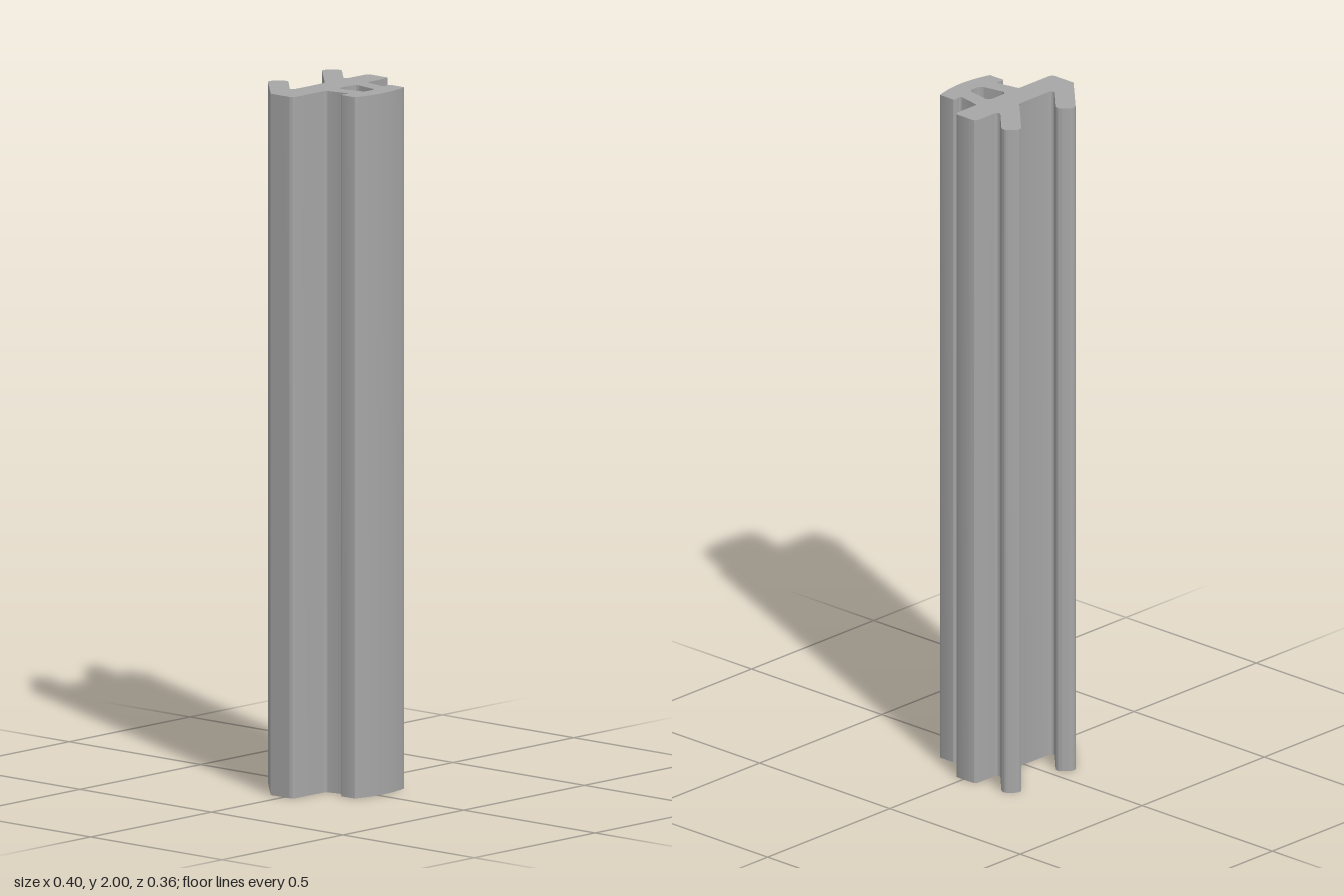
import * as THREE from 'three';
import { toCreasedNormals } from 'three/addons/utils/BufferGeometryUtils.js';

const HEIGHT = 2;
const AXIS = 0.022; // centre line of the neck and foot

// Draws a closed outline of [x, z, radius] corners, with true arcs at the corners.
function roundedOutline(path, corners) {
  const pts = corners.map(([x, z]) => new THREE.Vector2(x, -z));
  const n = pts.length;
  pts.forEach((p, i) => {
    const r = corners[i][2] || 0;
    if (r === 0) {
      if (i === 0) path.moveTo(p.x, p.y);
      else path.lineTo(p.x, p.y);
      return;
    }
    const u = pts[(i + n - 1) % n].clone().sub(p).normalize();
    const v = pts[(i + 1) % n].clone().sub(p).normalize();
    const half = Math.acos(u.dot(v)) / 2;
    const t = r / Math.tan(half);
    const start = p.clone().addScaledVector(u, t);
    const end = p.clone().addScaledVector(v, t);
    const c = u.clone().add(v).normalize().multiplyScalar(r / Math.sin(half)).add(p);
    if (i === 0) path.moveTo(start.x, start.y);
    else path.lineTo(start.x, start.y);
    path.absarc(c.x, c.y, r,
      Math.atan2(start.y - c.y, start.x - c.x),
      Math.atan2(end.y - c.y, end.x - c.x),
      u.cross(v) > 0);
  });
  path.closePath();
  return path;
}

export function createModel() {
  const grey = new THREE.MeshStandardMaterial({ color: 0xa6a6a6 });
  grey.name = 'grey rubber';

  // Right half of neck and foot; mirrored for the other half
  const neck = [
    [0.108, 0.034, 0.008],
    [0.093, 0.112, 0.006],
    [0.124, 0.102, 0.007],
    [0.124, 0.160, 0.003],
  ];
  const mirroredNeck = neck.map(([x, z, r]) => [2 * AXIS - x, z, r]).reverse();

  // Gently bowed face of the foot
  const bow = [];
  for (let i = 1; i < 12; i++) {
    const s = 1 - i / 6;
    bow.push([AXIS + 0.102 * s, 0.176 - 0.016 * s * s, 0]);
  }

  const profile = roundedOutline(new THREE.Shape(), [
    // left slanted fin
    [-0.2, -0.05, 0],
    [-0.063, -0.187, 0.019],
    [-0.022, -0.147, 0.019],
    [-0.123, -0.047, 0.009],
    // right slanted fin
    [0.021, -0.047, 0.02],
    [0.1605, -0.187, 0.019],
    [0.2, -0.1475, 0.019],
    [0.099, -0.047, 0.009],
    // end of the crossbar
    [0.199, -0.047, 0.013],
    [0.199, 0.034, 0.013],
    ...neck, ...bow, ...mirroredNeck,
    [-0.2, 0.034, 0.014],
  ]);

  // Tapered channel through the neck
  profile.holes.push(roundedOutline(new THREE.Path(), [
    [AXIS - 0.039, 0.034, 0.015],
    [AXIS - 0.0225, 0.122, 0.015],
    [AXIS + 0.0225, 0.122, 0.015],
    [AXIS + 0.039, 0.034, 0.015],
  ]));

  const extrusion = new THREE.ExtrudeGeometry(profile, {
    depth: HEIGHT, bevelEnabled: false, curveSegments: 8,
  });
  extrusion.rotateX(-Math.PI / 2);

  const strip = new THREE.Mesh(toCreasedNormals(extrusion, 0.5), grey);
  strip.name = 'sealStrip';

  const model = new THREE.Group();
  model.name = 'sealProfile';
  model.add(strip);
  return model;
}
